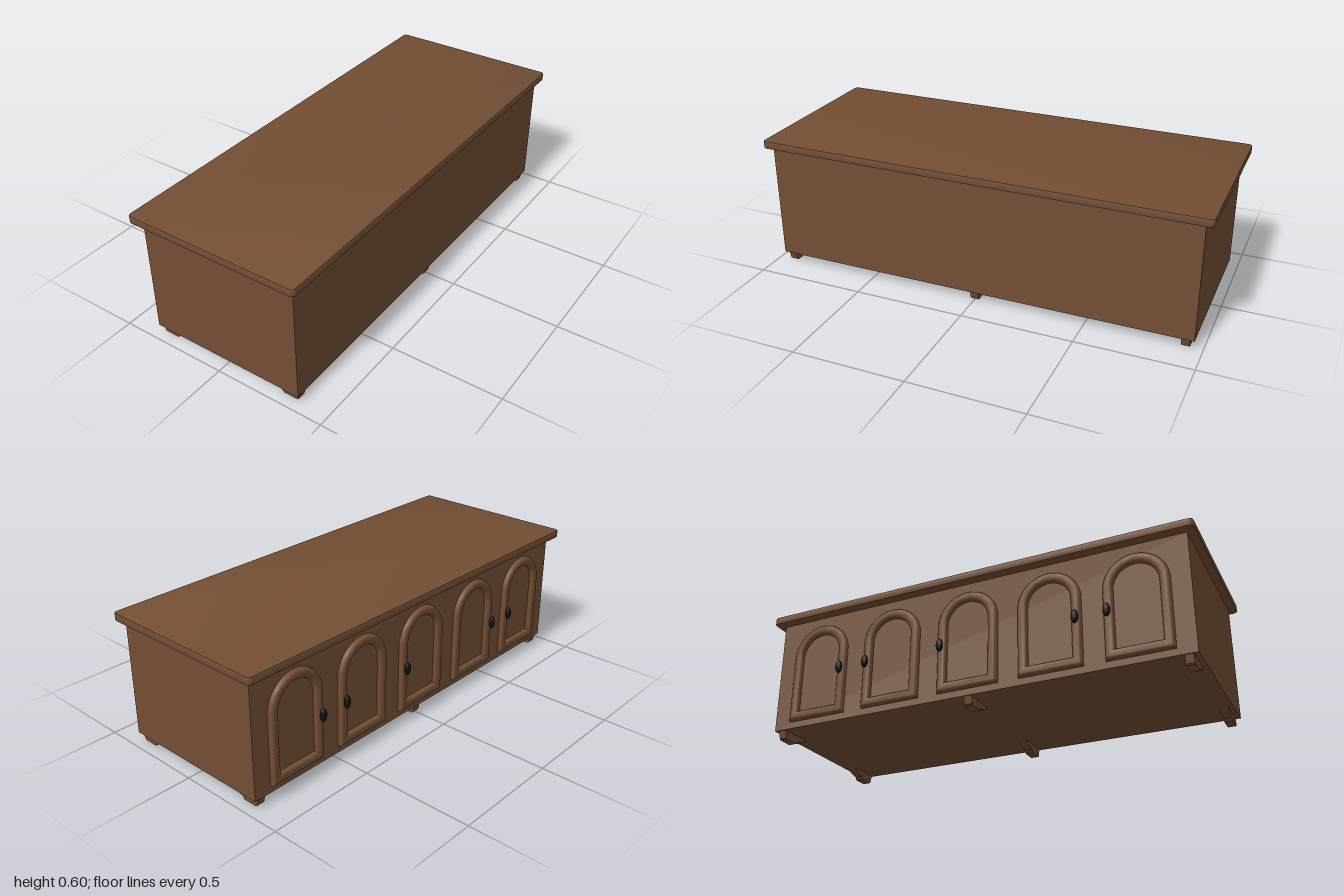
import * as THREE from 'three';
import { toCreasedNormals } from 'three/addons/utils/BufferGeometryUtils.js';

const wood = new THREE.MeshStandardMaterial({ color: 0x734e34 });
wood.name = 'brown wood';
const iron = new THREE.MeshStandardMaterial({ color: 0x101010 });
iron.name = 'black iron';

function add(parent, name, geometry, material, x = 0, y = 0, z = 0) {
  const mesh = new THREE.Mesh(geometry, material);
  mesh.name = name;
  mesh.position.set(x, y, z);
  parent.add(mesh);
  return mesh;
}

// Rectangle with a half-round head, standing on y = bottom
function archPath(path, halfWidth, bottom, spring) {
  path.moveTo(-halfWidth, bottom);
  path.lineTo(halfWidth, bottom);
  path.lineTo(halfWidth, spring);
  path.absarc(0, spring, halfWidth, 0, Math.PI, false);
  path.lineTo(-halfWidth, bottom);
  return path;
}

// Arched moulding with a rounded section, facing -x
function archMoulding() {
  const shape = archPath(new THREE.Shape(), 0.14, 0.07, 0.38);
  shape.holes.push(archPath(new THREE.Path(), 0.096, 0.114, 0.38));
  const geometry = new THREE.ExtrudeGeometry(shape, {
    depth: 0.004, curveSegments: 12, bevelEnabled: true,
    bevelThickness: 0.02, bevelSize: 0.014, bevelOffset: -0.014, bevelSegments: 4,
  });
  geometry.rotateY(-Math.PI / 2);
  return toCreasedNormals(geometry, 0.7);
}

// Table top with rounded corners and softened edges
function topBoard() {
  const w = 0.4, l = 1, r = 0.018;
  const shape = new THREE.Shape();
  shape.absarc(w - r, l - r, r, 0, Math.PI / 2);
  shape.absarc(-w + r, l - r, r, Math.PI / 2, Math.PI);
  shape.absarc(-w + r, -l + r, r, Math.PI, Math.PI * 1.5);
  shape.absarc(w - r, -l + r, r, Math.PI * 1.5, Math.PI * 2);
  const geometry = new THREE.ExtrudeGeometry(shape, {
    depth: 0.027, curveSegments: 4, bevelThickness: 0.004,
    bevelSize: 0.004, bevelOffset: -0.004, bevelSegments: 2,
  });
  geometry.rotateX(-Math.PI / 2);
  return toCreasedNormals(geometry, 0.7);
}

// Bracket foot profile, outer end first; side is -1 or 1
function footGeometry(side) {
  const profile = [[0.358, 0.042], [0.349, 0.005], [0.343, 0], [0.278, 0],
    [0.268, 0.013], [0.225, 0.024], [0.197, 0.042]];
  const shape = new THREE.Shape(profile.map(([x, y]) => new THREE.Vector2(side * x, y)));
  const geometry = new THREE.ExtrudeGeometry(shape, { depth: 0.036, bevelEnabled: false });
  geometry.translate(0.0075, 0, -0.018);
  return geometry;
}

export function createModel() {
  const model = new THREE.Group();
  model.name = 'sideboard';

  add(model, 'cabinetBody', new THREE.BoxGeometry(0.725, 0.526, 1.93), wood, 0.0075, 0.303, 0);
  add(model, 'topBoard', topBoard(), wood, 0, 0.569, 0);

  // Three pairs of feet
  for (const side of [-1, 1]) {
    const geometry = footGeometry(side);
    for (const z of [-0.927, 0, 0.927]) add(model, 'foot', geometry, wood, 0, 0, z);
  }

  // Five arched doors, each with a knob on one stile
  const moulding = archMoulding();
  const knob = new THREE.SphereGeometry(1, 12, 8);
  knob.scale(0.0125, 0.03, 0.016);
  [1, -1, -1, 1, -1].forEach((knobSide, i) => {
    const door = new THREE.Group();
    door.name = 'door';
    door.position.z = (i - 2) * 0.372;
    add(door, 'doorMoulding', moulding, wood, -0.351, 0, 0);
    add(door, 'doorKnob', knob, iron, -0.3875, 0.28, knobSide * 0.119);
    model.add(door);
  });

  return model;
}
